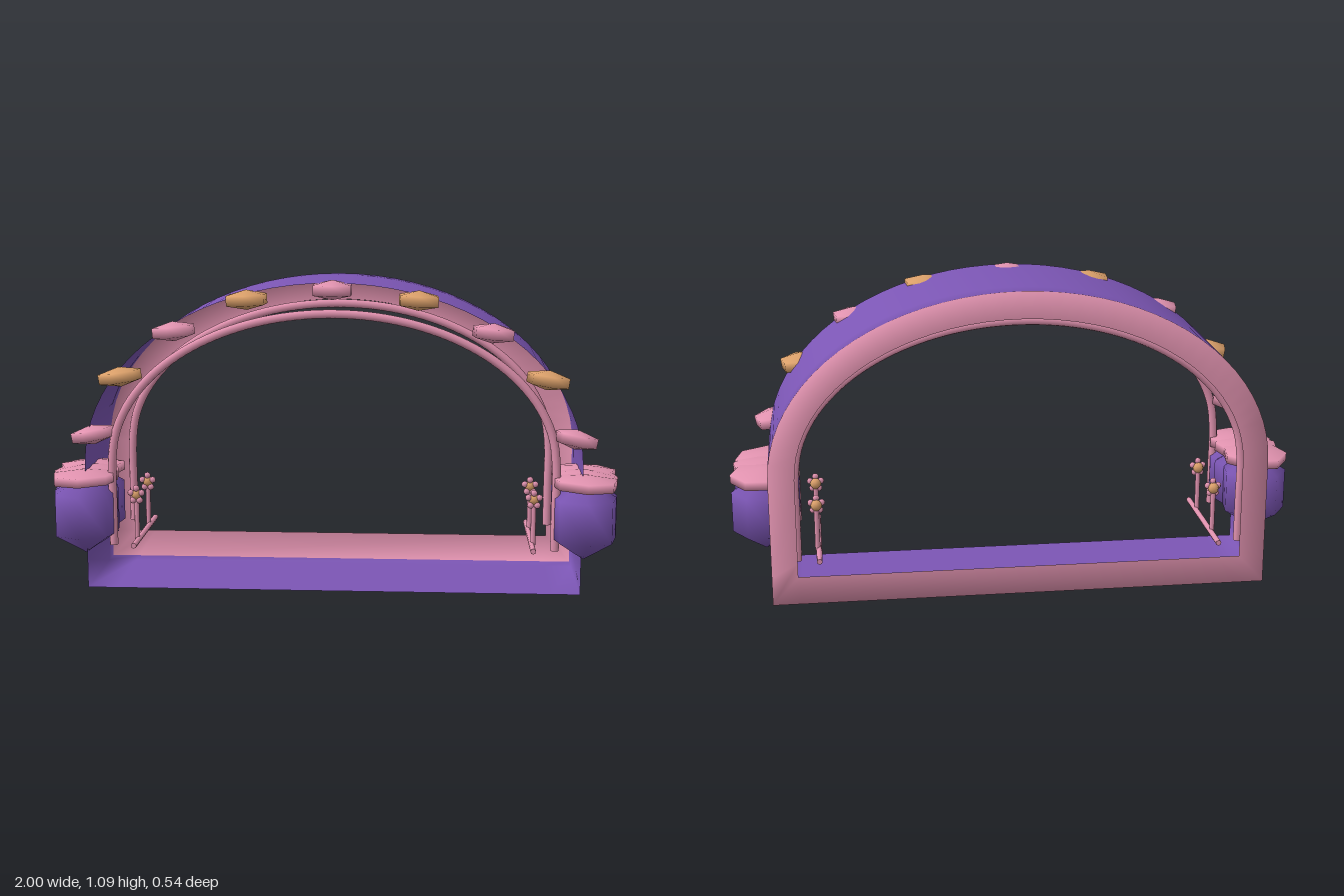
import * as THREE from 'three';

const mat = (name, color, side = THREE.FrontSide) => {
  const m = new THREE.MeshStandardMaterial({ color, side });
  m.name = name;
  return m;
};

export function createModel() {
  const group = new THREE.Group();
  const purple = mat('purple', 0x7c56b5);
  const purpleShell = purple;
  purpleShell.side = THREE.DoubleSide;
  const pink = mat('pink', 0xe293b0, THREE.DoubleSide);
  const orange = mat('orange', 0xdba06a);
  const SPRING = 0.45;

  const add = (name, geometry, material, x = 0, y = 0, z = 0, parent = group) => {
    const mesh = new THREE.Mesh(geometry, material);
    mesh.name = name;
    mesh.position.set(x, y, z);
    parent.add(mesh);
    return mesh;
  };

  // Arch shell: pairs of outer and inner outline points, counterclockwise from the front
  const outline = [
    [-0.865, 0, -0.775, 0.1], [-0.765, 0, -0.7, 0.1], [0.765, 0, 0.7, 0.1],
    [0.865, 0, 0.775, 0.1], [0.865, 0.1, 0.775, 0.15],
  ];
  const N = 40;
  for (let i = 0; i <= N; i++) {
    const c = Math.cos(i / N * Math.PI), s = Math.sin(i / N * Math.PI);
    outline.push([0.865 * c, SPRING + 0.63 * s, 0.775 * c, SPRING + 0.535 * s]);
  }
  outline.push([-0.865, 0.1, -0.775, 0.15]);

  const pos = [], wall = [], lip = [];
  for (const [ox, oy, ix, iy] of outline) {
    pos.push(ox, oy, 0.185, ox, oy, -0.2, ox, oy, -0.272, ix, iy, -0.272);
  }
  const n = outline.length;
  for (let i = 0; i < n; i++) {
    for (let k = 0; k < 3; k++) {
      const a = i * 4 + k, b = ((i + 1) % n) * 4 + k;
      (k < 2 ? wall : lip).push(a, a + 1, b + 1, a, b + 1, b);
    }
  }
  const shell = new THREE.BufferGeometry();
  shell.setAttribute('position', new THREE.Float32BufferAttribute(pos, 3));
  shell.setIndex([...wall, ...lip]);
  shell.addGroup(0, wall.length, 0);
  shell.addGroup(wall.length, lip.length, 1);
  shell.computeVertexNormals();
  add('archShell', shell, [purpleShell, pink]);

  // Thin hoops inside the front and back of the arch
  const hoopPoints = [[0.775, 0.15], [0.775, 0.3]];
  for (let i = 0; i <= 16; i++) {
    const a = i / 16 * Math.PI;
    hoopPoints.push([0.775 * Math.cos(a), SPRING + 0.522 * Math.sin(a)]);
  }
  hoopPoints.push([-0.775, 0.3], [-0.775, 0.15]);
  for (const [name, z] of [['frontHoop', 0.155], ['backHoop', -0.24]]) {
    const curve = new THREE.CatmullRomCurve3(hoopPoints.map(([x, y]) => new THREE.Vector3(x, y, z)));
    add(name, new THREE.TubeGeometry(curve, 90, 0.015, 8), pink);
  }

  // Faceted stones along the front rim
  const stone = new THREE.SphereGeometry(0.087, 6, 3);
  stone.rotateY(Math.PI / 2);
  stone.scale(1, 0.4, 1);
  const stones = [[0, 1.055], [0.295, 1.02], [0.55, 0.91], [0.74, 0.75], [0.84, 0.545]];
  stones.forEach(([x, y], i) => {
    for (const s of i ? [1, -1] : [1]) {
      const m = add('rimStone', stone, i % 2 ? orange : pink, s * x, y, 0.16);
      m.rotation.set(0, s * i * 0.07, -s * i * 0.05);
    }
  });

  // Side clusters: a tapering pod under a flat cap
  const pod = new THREE.SphereGeometry(0.133, 7, 3);
  pod.rotateY(Math.PI / 2);
  pod.scale(1, 1.09, 1);
  const cap = new THREE.SphereGeometry(0.135, 7, 3);
  cap.rotateY(Math.PI / 2);
  cap.scale(1, 0.23, 1);

  for (const s of [1, -1]) {
    [[0.875, 0.155], [0.882, 0.063], [0.885, -0.028]].forEach(([x, z], i) => {
      const bud = new THREE.Group();
      bud.name = 'sideBud';
      bud.position.set(s * x, 0, z);
      bud.rotation.y = s * i * 0.4;
      add('pod', pod, purple, 0, 0.265, 0, bud);
      add('podCap', cap, pink, 0, 0.39, 0, bud).rotation.z = -s * 0.04;
      group.add(bud);
    });

    // Low rail along each inner side
    add('sideRail', new THREE.CylinderGeometry(0.01, 0.01, 0.455, 8), pink, s * 0.7, 0.152, -0.043)
      .rotation.x = Math.PI / 2;

    // Small blossoms on stems standing on the rail
    for (const z of [0.08, -0.15]) {
      const flower = new THREE.Group();
      flower.name = 'blossom';
      flower.position.set(s * 0.705, 0, z);
      add('stem', new THREE.CylinderGeometry(0.009, 0.009, 0.16, 8), pink, 0, 0.23, 0, flower);
      add('blossomCentre', new THREE.SphereGeometry(0.02, 8, 6), orange, 0, 0.315, 0, flower);
      for (let i = 0; i < 5; i++) {
        const a = Math.PI / 2 + i / 5 * Math.PI * 2;
        add('petal', new THREE.SphereGeometry(0.012, 6, 5), pink,
          0.02 * Math.cos(a), 0.315 + 0.024 * Math.sin(a), 0.008, flower);
      }
      group.add(flower);
    }
  }
  return group;
}
